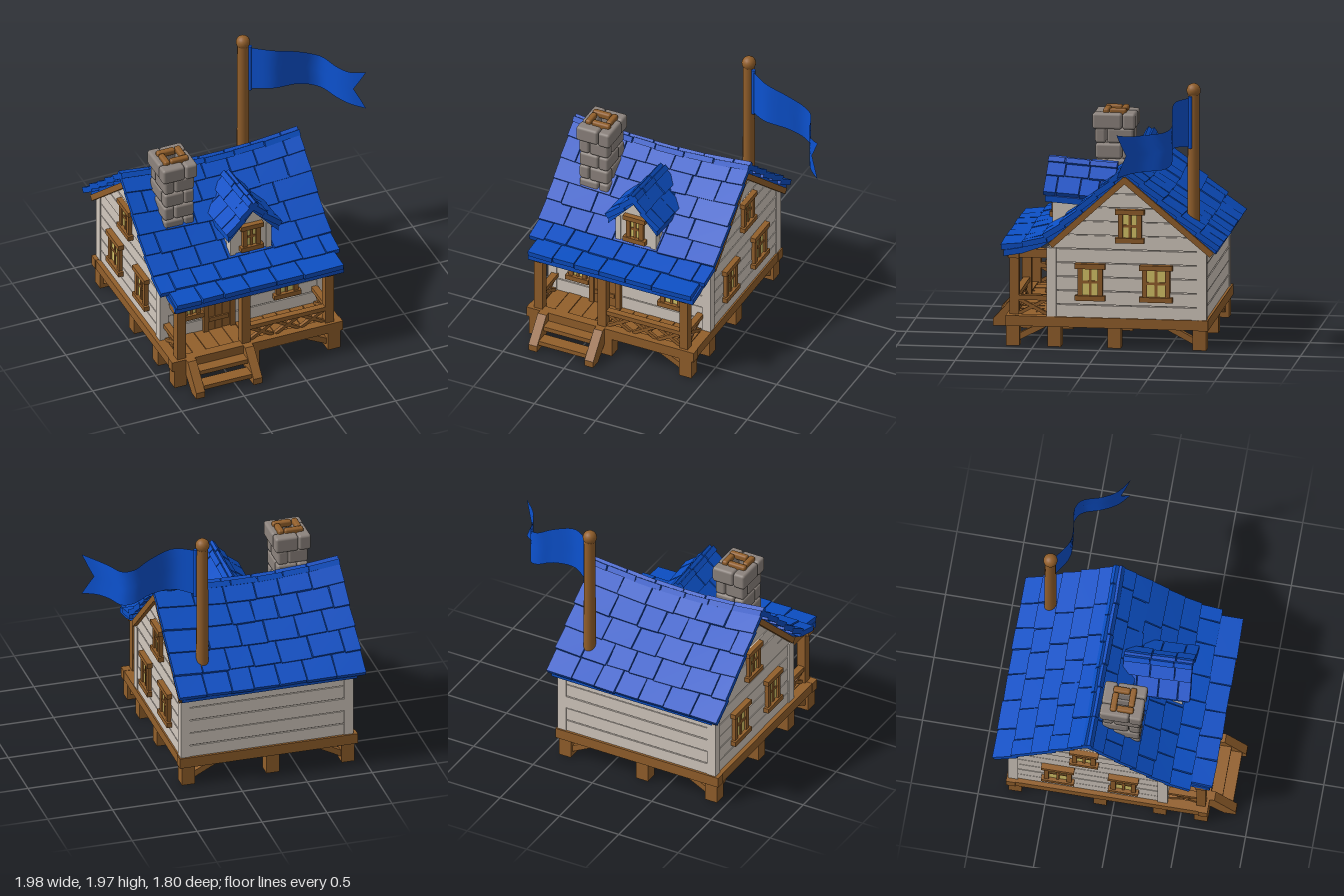
import * as THREE from 'three';
import { mergeGeometries } from 'three/addons/utils/BufferGeometryUtils.js';
import { RoundedBoxGeometry } from 'three/addons/geometries/RoundedBoxGeometry.js';

const material = (name, color, side = THREE.FrontSide) => {
  const m = new THREE.MeshStandardMaterial({ color, side });
  m.name = name;
  return m;
};

export function createModel() {
  const root = new THREE.Group();
  root.name = 'cottage';
  const wood = material('wood', 0x925f2b);
  const blue = material('roofBlue', 0x0c4fc4);
  const cloth = material('flagBlue', 0x0c52d0, THREE.DoubleSide);
  const plaster = material('paleBoards', 0xd2c8be);
  const stone = material('stone', 0x8c837d);
  const glass = material('yellowGlass', 0xd6c468);

  let seed = 7;
  const rand = () => (seed = (seed * 16807) % 2147483647) / 2147483647;
  const vary = (a) => (rand() * 2 - 1) * a;

  const add = (name, geo, mat, parent = root) => {
    const m = new THREE.Mesh(geo, mat);
    m.name = name;
    parent.add(m);
    return m;
  };
  const box = (name, mat, x0, x1, y0, y1, z0, z1, parent = root) => {
    const m = add(name, new THREE.BoxGeometry(x1 - x0, y1 - y0, z1 - z0), mat, parent);
    m.position.set((x0 + x1) / 2, (y0 + y1) / 2, (z0 + z1) / 2);
    return m;
  };
  const beam = (name, a, b, w, h) => {
    const p = new THREE.Vector3(...a), q = new THREE.Vector3(...b);
    const m = add(name, new THREE.BoxGeometry(w, h, p.distanceTo(q)), wood);
    m.position.copy(p).lerp(q, 0.5);
    m.lookAt(q);
  };
  // Extrude a (z, y) outline along x
  const extrudeX = (pts, x0, x1, steps = 1) => {
    const shape = new THREE.Shape(pts.map((p) => new THREE.Vector2(...p)));
    return new THREE.ExtrudeGeometry(shape, { depth: x1 - x0, steps, bevelEnabled: false })
      .rotateY(-Math.PI / 2).translate(x1, 0, 0);
  };

  // Raised floor, rim beams and porch boards
  box('floor', wood, -0.93, 0.40, 0.16, 0.215, -0.78, 0.68);
  for (const [z0, z1] of [[-0.8, -0.73], [0.635, 0.705]]) box('floorBeam', wood, -0.95, 0.42, 0.15, 0.23, z0, z1);
  for (const [x0, x1] of [[-0.945, -0.87], [0.34, 0.415]]) box('floorBeam', wood, x0, x1, 0.152, 0.228, -0.73, 0.64);
  for (let i = 0; i < 11; i++) box('porchBoard', wood, -0.86 + i * 0.109, -0.757 + i * 0.109, 0.2, 0.222 + vary(0.003), 0.39, 0.64);

  // Stilts and their braces
  for (const x of [-0.88, -0.3, 0.35])
    for (const z of [0.655, 0.345, -0.1, -0.735]) box('stilt', wood, x - 0.05, x + 0.05, 0, 0.16, z - 0.05, z + 0.05);
  for (const [x, sx] of [[-0.88, 1], [0.35, -1]])
    for (const [z, sz] of [[0.655, -1], [-0.735, 1]]) {
      beam('stiltBrace', [x, 0.04, z], [x + sx * 0.23, 0.16, z], 0.05, 0.045);
      beam('stiltBrace', [x, 0.04, z], [x, 0.16, z + sz * 0.23], 0.05, 0.045);
    }

  // Stairs
  for (const x of [-0.805, -0.345]) {
    add('stringer', extrudeX([[0.70, 0.23], [0.70, 0.10], [0.81, 0], [0.90, 0], [0.90, 0.05], [0.74, 0.23]], x - 0.035, x + 0.035), wood);
  }
  box('tread', wood, -0.78, -0.37, 0.125, 0.16, 0.69, 0.79);
  box('tread', wood, -0.78, -0.37, 0.045, 0.08, 0.77, 0.87);

  // House body, with boards laid on each face
  const wallLine = (y) => (y < 0.76 ? [-0.77, 0.385] : [y < 0.79 ? -0.77 : -0.77 + (y - 0.79) * 1.2, 0.385 - (y - 0.76) * 1.085]);
  add('houseBody', extrudeX([[0.385, 0.21], [0.385, 0.76], [-0.18, 1.28], [-0.77, 0.79], [-0.77, 0.21]], -0.9, 0.39), plaster);
  for (let i = 0; i < 10; i++) {
    const y0 = 0.22 + i * 0.105, y1 = y0 + 0.098;
    const [b0, f0] = wallLine(y0), [b1, f1] = wallLine(y1);
    const outline = f1 > b1 ? [[f0, y0], [f1, y1], [b1, y1], [b0, y0]] : [[f0, y0], [-0.18, 1.28], [b0, y0]];
    add('gableBoard', extrudeX(outline, 0.385, 0.402 + vary(0.003)), plaster);
    add('gableBoard', extrudeX(outline, -0.912 + vary(0.003), -0.895), plaster);
    if (i < 5) {
      box('frontBoard', plaster, -0.88, 0.37, y0, y1, 0.38, 0.396 + vary(0.003));
      box('backBoard', plaster, -0.88, 0.37, y0, y1, -0.781 + vary(0.003), -0.765);
    }
  }
  for (const [x0, x1] of [[-0.92, -0.85], [0.34, 0.41]])
    for (const [z0, z1] of [[-0.788, -0.715], [0.33, 0.403]]) box('cornerBoard', plaster, x0, x1, 0.21, z0 < 0 ? 0.79 : 0.745, z0, z1);

  // Windows face +z before being turned into place
  const addWindow = (x, y, z, turn, w = 0.2, h = 0.25) => {
    const g = new THREE.Group();
    g.name = 'window';
    const a = w / 2, b = h / 2;
    box('glass', glass, -a + 0.02, a - 0.02, -b + 0.02, b - 0.02, 0, 0.009, g);
    for (const s of [-1, 1]) {
      box('jamb', wood, s * (a - 0.025) - 0.018, s * (a - 0.025) + 0.018, -b + 0.02, b - 0.02, -0.01, 0.026, g);
      box('lintelAndSill', wood, -a - 0.013, a + 0.013, s * (b - 0.018) - 0.019, s * (b - 0.018) + 0.019, -0.01, 0.038, g);
    }
    box('mullion', wood, -0.01, 0.01, -b + 0.03, b - 0.03, 0, 0.018, g);
    box('crossbar', wood, -a + 0.03, a - 0.03, -0.01, 0.01, 0, 0.016, g);
    g.position.set(x, y, z);
    g.rotation.y = turn;
    root.add(g);
  };
  addWindow(0.095, 0.485, 0.398, 0, 0.19);
  addWindow(-0.67, 0.485, 0.398, 0, 0.16, 0.23);
  addWindow(-0.195, 0.985, 0.413, 0, 0.155, 0.225);
  for (const [x, turn] of [[0.404, Math.PI / 2], [-0.914, -Math.PI / 2]]) {
    addWindow(x, 0.497, 0.075, turn, 0.2, 0.275);
    addWindow(x, 0.497, -0.415, turn, 0.22, 0.275);
    addWindow(x, 0.925, -0.22, turn, 0.19, 0.25);
  }

  // Door
  for (let i = 0; i < 3; i++) box('doorBoard', wood, -0.54 + i * 0.06, -0.483 + i * 0.06, 0.22, 0.63, 0.38, 0.41);
  for (const x of [-0.575, -0.36]) box('doorFrame', wood, x, x + 0.04, 0.22, 0.65, 0.38, 0.425);
  box('doorFrame', wood, -0.585, -0.31, 0.625, 0.665, 0.38, 0.43);
  for (const y of [0.3, 0.53]) box('doorBatten', wood, -0.53, -0.37, y, y + 0.035, 0.4, 0.42);

  // Porch posts, beams and railings
  for (const x of [-0.865, -0.345, 0.325]) box('porchPost', wood, x - 0.034, x + 0.034, 0.2, 0.68, 0.615, 0.683);
  box('porchBeam', wood, -0.93, 0.39, 0.655, 0.705, 0.61, 0.69);
  for (const x of [-0.865, 0.325]) {
    box('porchSideBeam', wood, x - 0.03, x + 0.03, 0.655, 0.72, 0.39, 0.7);
    box('sideRail', wood, x - 0.025, x + 0.025, 0.335, 0.37, 0.39, 0.64);
    beam('sideRailBrace', [x, 0.23, 0.41], [x, 0.34, 0.62], 0.028, 0.025);
    beam('sideRailBrace', [x, 0.34, 0.41], [x, 0.23, 0.62], 0.024, 0.025);
  }
  box('frontRail', wood, -0.33, 0.31, 0.335, 0.37, 0.625, 0.675);
  for (const x of [-0.31, -0.1, 0.1]) {
    beam('railBrace', [x, 0.23, 0.65], [x + 0.19, 0.34, 0.65], 0.028, 0.025);
    beam('railBrace', [x, 0.34, 0.65], [x + 0.19, 0.23, 0.65], 0.024, 0.025);
  }

  // Shingle rows following a (z, y) curve from ridge to eave
  const shingles = (points, rows, x0, x1, width, inset = 0) => {
    const curve = new THREE.SplineCurve(points.map((p) => new THREE.Vector2(...p)));
    const out = [];
    for (let r = 0; r < rows; r++) {
      const p = curve.getPointAt(r / rows), q = curve.getPointAt((r + 1) / rows);
      const d = q.clone().sub(p), len = d.length(), side = Math.sign(d.x);
      const c = p.clone().lerp(q, 0.47);
      const nz = (-d.y * side * side) / len * side, ny = Math.abs(d.x) / len;
      const cut = r === rows - 1 ? inset : 0;
      const a0 = x0 + cut, a1 = x1 - cut * 0.6;
      let x = a0;
      while (x < a1 - 0.01) {
        let w = r % 2 && x === a0 ? width * 0.6 : width * (1 + vary(0.2));
        if (a1 - x - w < width * 0.5) w = a1 - x;
        const g = new THREE.BoxGeometry(w - 0.007, 0.042, len * (1.12 + vary(0.05)));
        g.rotateY(vary(0.025));
        g.rotateX(Math.atan2(-d.y, d.x) - side * (0.1 + vary(0.03)));
        const lift = -0.022 + vary(0.004);
        out.push(g.translate(x + w / 2, c.y + ny * lift, c.x + nz * lift));
        x += w;
      }
    }
    return out;
  };
  const deck = (pts, x0, x1) => extrudeX(
    [...pts.map(([z, y]) => [z, y - 0.04]), ...pts.map(([z, y]) => [z, y - 0.085]).reverse()], x0, x1, 10);
  // The ridge sags between the gables
  const sag = (g) => {
    const p = g.attributes.position;
    for (let i = 0; i < p.count; i++) {
      const k = THREE.MathUtils.clamp((p.getY(i) - 0.75) / 0.55, 0, 1);
      p.setY(i, p.getY(i) - 0.05 * k * (1 - ((p.getX(i) + 0.27) / 0.73) ** 2));
    }
    g.computeVertexNormals();
    return g;
  };

  // Main roof
  const front = [[-0.19, 1.385], [0, 1.215], [0.2, 1.03], [0.34, 0.905], [0.44, 0.835], [0.58, 0.785], [0.74, 0.755]];
  const back = [[-0.19, 1.385], [-0.53, 1.09], [-0.89, 0.79]];
  add('roofShingles', sag(mergeGeometries([...shingles(front, 7, -0.99, 0.45, 0.21, 0.065), ...shingles(back, 5, -0.99, 0.45, 0.21)])), blue);
  add('roofDeck', sag(deck([[-0.86, 0.815], ...front.slice(0, -1), [0.72, 0.76]].reverse(), -0.93, 0.42)), blue);
  for (const x of [-0.925, 0.415]) {
    beam('bargeboard', [x, 1.28, -0.17], [x, 0.725, -0.83], 0.035, 0.045);
    beam('bargeboard', [x, 1.28, -0.19], [x, 0.765, 0.37], 0.035, 0.045);
  }

  // Dormer
  const dormer = new THREE.Shape([[-0.355, 0.8], [-0.035, 0.8], [-0.035, 1.06], [-0.195, 1.24], [-0.355, 1.06]].map((p) => new THREE.Vector2(...p)));
  add('dormerWall', new THREE.ExtrudeGeometry(dormer, { depth: 0.33, bevelEnabled: false }), plaster).position.z = 0.08;
  for (const x of [-0.36, -0.072]) box('dormerCornerBoard', plaster, x, x + 0.042, 0.82, 1.06, 0.35, 0.418);
  const slope = (s) => [[0, 0], [s * 0.105, -0.115], [s * 0.215, -0.225]];
  const dormerRoof = mergeGeometries([...shingles(slope(1), 2, -0.47, 0.05, 0.16), ...shingles(slope(-1), 2, -0.47, 0.05, 0.16)]);
  const capGroup = new THREE.Group();
  capGroup.name = 'dormerRoof';
  add('dormerShingles', dormerRoof.rotateY(Math.PI / 2), blue, capGroup);
  add('dormerDeck', deck([[0.2, -0.215], [0, 0], [-0.2, -0.215]], -0.45, 0.05).rotateY(Math.PI / 2), blue, capGroup);
  capGroup.position.set(-0.195, 1.275, 0);
  capGroup.rotation.x = -0.07;
  root.add(capGroup);

  // Hollow chimney: four stones turn around the flue in each course
  const course = (name, mat, hx, hz, t, y0, y1, flip) => {
    for (const s of [-1, 1]) {
      const parts = [[hx * 2 - t, t, -s * flip * t / 2, s * (hz - t / 2)], [t, hz * 2 - t, s * (hx - t / 2), s * flip * t / 2]];
      for (const [w, d, x, z] of parts) {
        const h = y1 - y0 - 0.004;
        const m = add(name, new RoundedBoxGeometry(w - 0.004, h, d - 0.004, 2, Math.min(0.02, h * 0.3)), mat);
        m.position.set(-0.66 + x + vary(0.003), (y0 + y1) / 2, 0.03 + z + vary(0.003));
      }
    }
  };
  for (let i = 0; i < 5; i++) course('chimneyStone', stone, 0.122, 0.143, 0.085, 0.87 + i * 0.118, 0.99 + i * 0.118, i % 2 ? 1 : -1);
  course('chimneyCap', stone, 0.14, 0.162, 0.1, 1.45, 1.575, 1);
  course('chimneyRim', wood, 0.1, 0.09, 0.05, 1.55, 1.605, -1);

  // Flagpole
  add('flagpole', new THREE.CylinderGeometry(0.042, 0.047, 1.1, 16), wood).position.set(0.207, 1.37, -0.665);
  add('poleKnob', new THREE.SphereGeometry(0.053, 16, 12), wood).position.set(0.207, 1.918, -0.665);

  // Waving swallow-tailed flag
  const path = [[0.245, -0.645], [0.4, -0.55], [0.58, -0.555], [0.7, -0.57], [0.78, -0.53], [0.84, -0.38], [0.9, -0.28], [0.995, -0.2]];
  const edge = (ys) => new THREE.CatmullRomCurve3(path.map(([x, z], i) => new THREE.Vector3(x, ys[i], z)));
  const top = edge([1.87, 1.86, 1.8, 1.74, 1.715, 1.7, 1.7, 1.725]);
  const bottom = edge([1.5, 1.52, 1.505, 1.46, 1.435, 1.425, 1.415, 1.4]);
  const flag = new THREE.PlaneGeometry(1, 1, 32, 4);
  const pos = flag.attributes.position;
  for (let i = 0; i < pos.count; i++) {
    const v = pos.getY(i) + 0.5;
    const u = (pos.getX(i) + 0.5) * (1 - 0.11 * (1 - Math.abs(v * 2 - 1)));
    const p = bottom.getPoint(u).lerp(top.getPoint(u), v);
    pos.setXYZ(i, p.x, p.y, p.z);
  }
  flag.computeVertexNormals();
  add('flag', flag, cloth);
  add('flagSleeve', new THREE.CylinderGeometry(0.015, 0.015, 0.39, 10), cloth).position.set(0.255, 1.685, -0.645);
  return root;
}
